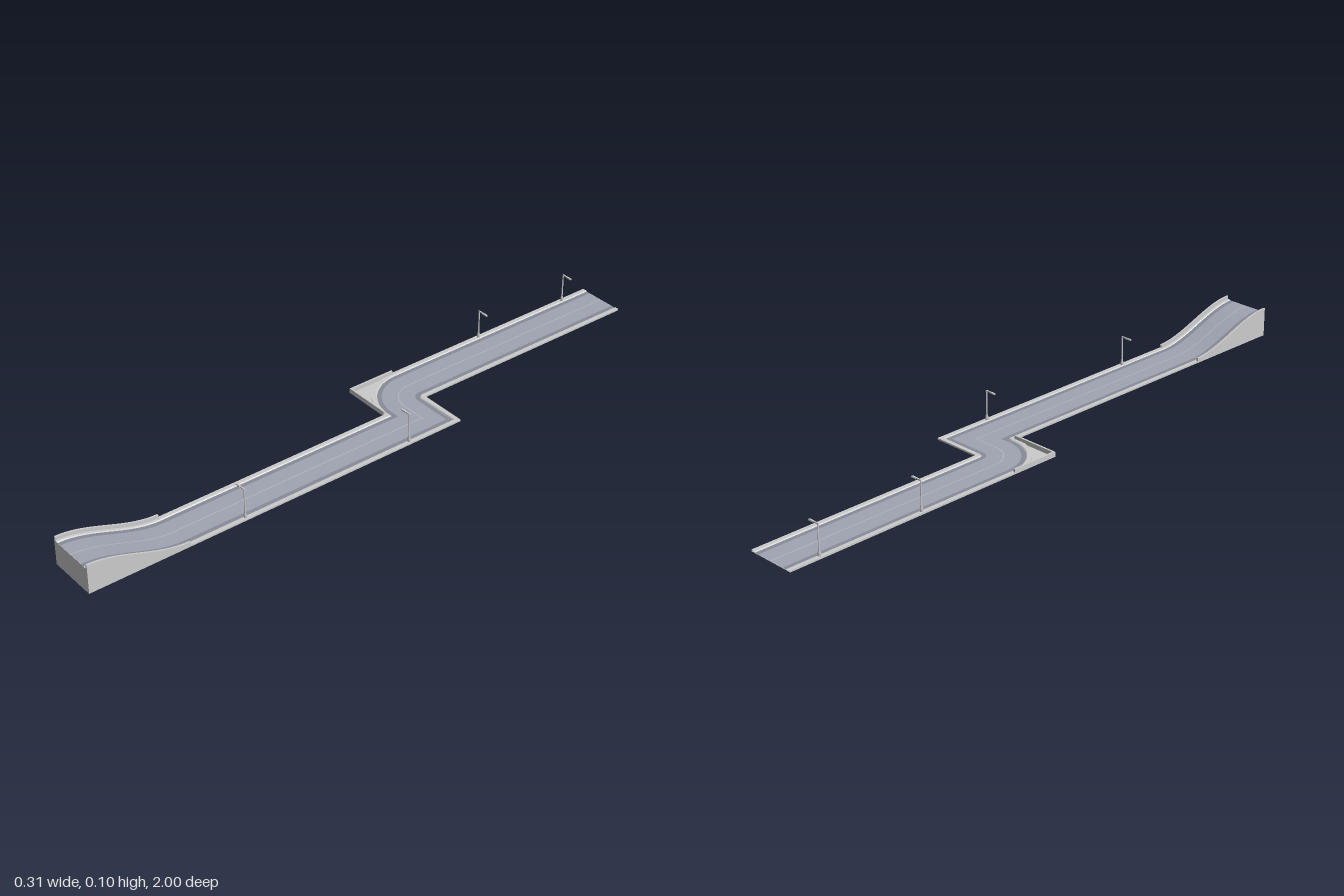
import * as THREE from 'three';

const W = 0.154, HALF = W / 2;         // road width
const BEND = -0.231;                   // z where the first bend begins
const RAMP_START = 0.69, RAMP_RISE = 0.075;

const material = (color) => new THREE.MeshStandardMaterial({ color });
const grey = material(0xcccccc);
const asphalt = material(0xa0a5b2);
const gutter = material(0x888c9a);
const paint = material(0xb2b6c2);

function rampHeight(z) {
  return RAMP_RISE * THREE.MathUtils.smoothstep(z, RAMP_START, 1);
}

// Stations along the road: position and sideways direction (x, z) per unit offset
function roadStations() {
  const s = [{ x: -HALF, z: -1, nx: 1, nz: 0 }];
  for (let i = 0; i <= 16; i++) {
    const a = (i / 16) * Math.PI / 2, c = Math.cos(a), n = Math.sin(a);
    s.push({ x: -HALF * c, z: BEND + HALF * n, nx: c, nz: -n });
  }
  s.push({ x: HALF, z: BEND + HALF, nx: 1, nz: -1 });   // square mitred corner
  for (let i = 0; i <= 24; i++) {
    s.push({ x: HALF, z: RAMP_START + (1 - RAMP_START) * i / 24, nx: 1, nz: 0 });
  }
  return s;
}

// One strip of the road section, from (u0, h0) to (u1, h1), swept along the stations
function strip(stations, u0, h0, u1, h1, mat, name) {
  const pos = [], index = [];
  stations.forEach((s, i) => {
    for (const [u, h] of [[u0, h0], [u1, h1]]) {
      pos.push(s.x + s.nx * u, h > 0 ? rampHeight(s.z) + h : 0, s.z + s.nz * u);
    }
    if (i) {
      const a = 2 * i - 2;
      index.push(a, a + 2, a + 1, a + 1, a + 2, a + 3);
    }
  });
  const g = new THREE.BufferGeometry();
  g.setAttribute('position', new THREE.Float32BufferAttribute(pos, 3));
  g.setIndex(index);
  g.computeVertexNormals();
  const mesh = new THREE.Mesh(g, mat);
  mesh.name = name;
  return mesh;
}

// Box given by its limits
function block(x0, x1, y0, y1, z0, z1, name) {
  const mesh = new THREE.Mesh(new THREE.BoxGeometry(x1 - x0, y1 - y0, z1 - z0), grey);
  mesh.position.set((x0 + x1) / 2, (y0 + y1) / 2, (z0 + z1) / 2);
  mesh.name = name;
  return mesh;
}

// Solid under the ramp curve, between x0 and x1, with its top raised by lift
function rampSolid(x0, x1, lift, name) {
  const shape = new THREE.Shape();
  shape.moveTo(-1, 0);
  for (let i = 24; i >= 0; i--) {
    const z = RAMP_START + (1 - RAMP_START) * i / 24;
    shape.lineTo(-z, rampHeight(z) + lift);
  }
  shape.lineTo(-RAMP_START, 0);
  const g = new THREE.ExtrudeGeometry(shape, { depth: x1 - x0, bevelEnabled: false });
  g.rotateY(Math.PI / 2);
  g.translate(x0, 0, 0);
  const mesh = new THREE.Mesh(g, grey);
  mesh.name = name;
  return mesh;
}

// Street lamp whose arm reaches toward +x
function streetLamp() {
  const lamp = new THREE.Group();
  lamp.name = 'streetLamp';
  const profile = [[0.0001, 0], [0.0045, 0], [0.004, 0.016], [0.0023, 0.022], [0.002, 0.094], [0.0001, 0.094]];
  const pole = new THREE.Mesh(
    new THREE.LatheGeometry(profile.map(([r, y]) => new THREE.Vector2(r, y)), 8), grey);
  pole.name = 'lampPole';
  lamp.add(pole, block(-0.002, 0.033, 0.093, 0.0965, -0.0018, 0.0018, 'lampArm'));
  lamp.add(block(0.016, 0.034, 0.0925, 0.096, -0.003, 0.003, 'lampHead'));
  return lamp;
}

export function createModel() {
  const model = new THREE.Group();
  model.name = 'roadTrack';

  // Ground slabs of the two offset runs
  model.add(block(-W, 0, 0, 0.0015, -1, BEND + W, 'leftSlab'));
  model.add(block(0, W, 0, 0.0015, BEND, 1, 'rightSlab'));

  // Road surface with gutters, centre line, kerbs and pavements
  const stations = roadStations();
  const add = (...args) => model.add(strip(stations, ...args));
  const R = 0.0025, K = 0.005;
  add(-HALF, 0, -HALF, K, grey, 'outerEdge');
  add(-HALF, K, -0.064, K, grey, 'pavement');
  add(-0.064, K, -0.061, R, grey, 'kerb');
  add(-0.061, R, -0.048, R, gutter, 'gutter');
  add(-0.048, R, -0.0015, R, asphalt, 'lane');
  add(-0.0015, R, 0.0015, R, paint, 'centreLine');
  add(0.0015, R, 0.048, R, asphalt, 'lane');
  add(0.048, R, 0.061, R, gutter, 'gutter');
  add(0.061, R, 0.064, K, grey, 'kerb');
  add(0.064, K, HALF, K, grey, 'pavement');
  add(HALF, K, HALF, 0, grey, 'outerEdge');

  // Low wall around the rounded corner
  model.add(block(-W, -W + 0.006, 0, 0.015, BEND, BEND + W, 'cornerWallSide'));
  model.add(block(-W + 0.006, 0, 0, 0.015, BEND + W - 0.006, BEND + W, 'cornerWallFront'));

  // Ramp body and its side walls
  model.add(rampSolid(0.001, W - 0.001, 0.0018, 'rampBody'));
  model.add(rampSolid(0, 0.006, 0.015, 'rampWallRight'));
  model.add(rampSolid(W - 0.006, W, 0.015, 'rampWallLeft'));

  // Street lamps leaning over the road
  for (const [x, z] of [[-0.145, -0.9], [-0.145, -0.56], [0.145, -0.05], [0.145, 0.51]]) {
    const lamp = streetLamp();
    lamp.position.set(x, 0, z);
    if (x > 0) lamp.rotation.y = Math.PI;
    model.add(lamp);
  }
  return model;
}
